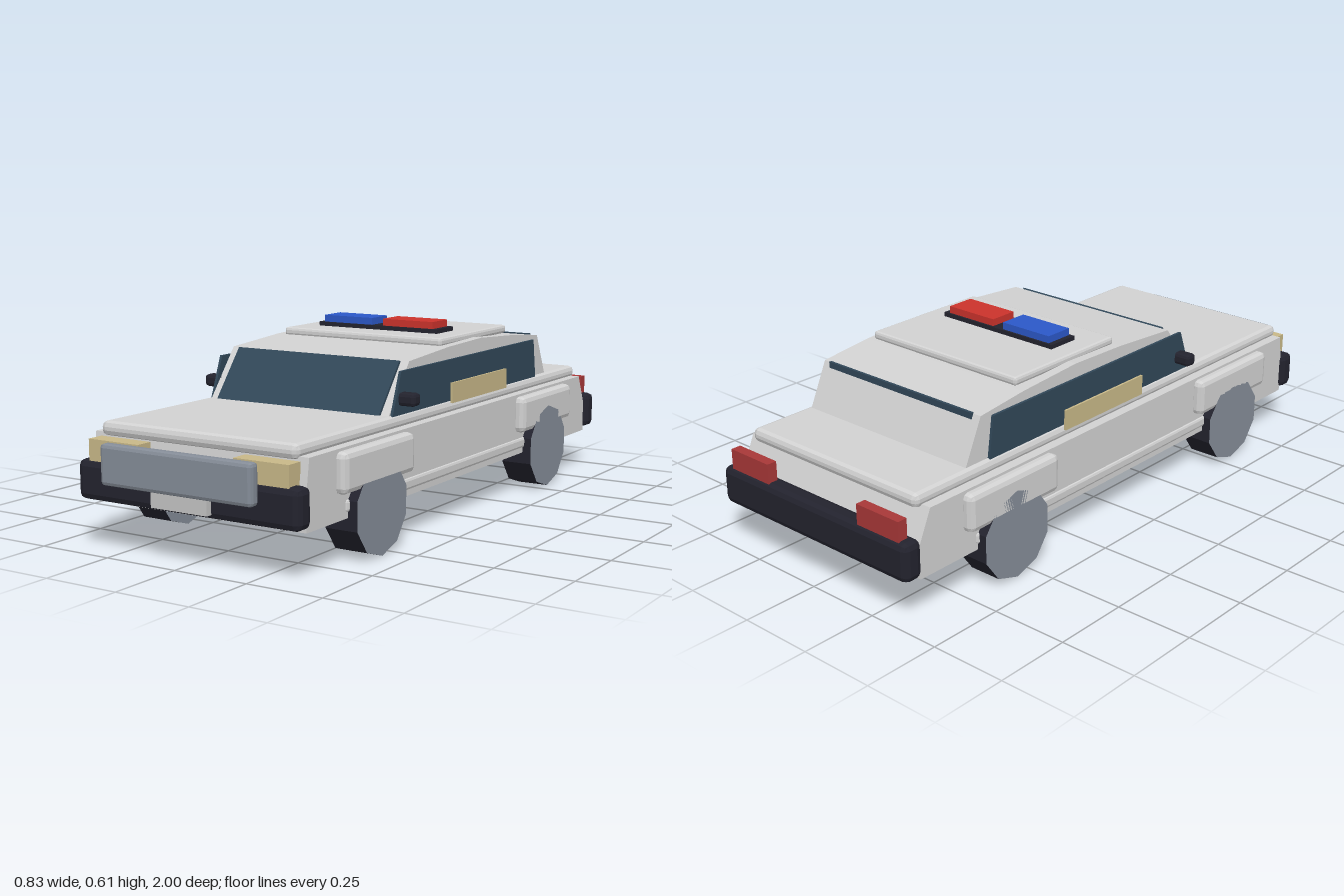
import * as THREE from 'three';
import { RoundedBoxGeometry } from 'three/addons/geometries/RoundedBoxGeometry.js';

const paint = (name, color) => {
  const m = new THREE.MeshStandardMaterial({ color, flatShading: true });
  m.name = name;
  return m;
};

export function createModel() {
  const car = new THREE.Group();
  car.name = 'patrolCar';

  const white = paint('bodyPaint', 0xd2d2d2);
  const plateGrey = paint('plateGrey', 0xc4c4c4);
  const glass = paint('glass', 0x314758);
  const dark = paint('darkRubber', 0x23232e);
  const steel = paint('steel', 0x858d98);
  const tan = paint('warmTan', 0xc8b888);
  const red = paint('beaconRed', 0xcc332c);
  const blue = paint('beaconBlue', 0x2c58c8);
  const tail = paint('tailRed', 0xa83838);

  const add = (name, geometry, material) => {
    const mesh = new THREE.Mesh(geometry, material);
    mesh.name = name;
    car.add(mesh);
    return mesh;
  };

  // Box given by its limits; a bevel cuts its edges at an angle
  const box = (name, material, [x0, x1], [y0, y1], [z0, z1], bevel = 0) => {
    const size = [x1 - x0, y1 - y0, z1 - z0];
    const g = bevel
      ? new RoundedBoxGeometry(...size, 1, bevel)
      : new THREE.BoxGeometry(...size);
    g.translate((x0 + x1) / 2, (y0 + y1) / 2, (z0 + z1) / 2);
    return add(name, g, material);
  };

  // Side profile of [z, y] points, extruded across x
  const profile = (name, material, points, x0, x1) => {
    const shape = new THREE.Shape(points.map(([z, y]) => new THREE.Vector2(z, y)));
    const g = new THREE.ExtrudeGeometry(shape, { depth: x1 - x0, bevelEnabled: false });
    g.rotateY(-Math.PI / 2).translate(x1, 0, 0);
    return add(name, g, material);
  };

  // Limits mirrored to the given side
  const flip = (side, a, b) => (side > 0 ? [a, b] : [-b, -a]);

  // Lower body and the deck with hood and trunk
  profile('lowerBody', white, [
    [0.9, 0.137], [0.9, 0.245], [0.885, 0.345],
    [-0.885, 0.345], [-0.93, 0.245], [-0.93, 0.137],
  ], -0.382, 0.382);
  box('deck', white, [-0.352, 0.352], [0.335, 0.38], [-0.912, 0.9], 0.017);

  // Cabin, windshield and rear glass edge
  profile('cabin', white, [
    [0.4, 0.365], [0.268, 0.533], [0.02, 0.55], [-0.2, 0.556],
    [-0.44, 0.541], [-0.625, 0.521], [-0.697, 0.365],
  ], -0.333, 0.333);
  profile('windshield', glass, [
    [0.388, 0.38], [0.27, 0.53], [0.278, 0.534], [0.398, 0.381],
  ], -0.304, 0.304);
  box('rearGlassEdge', glass, [-0.304, 0.304], [0.505, 0.525], [-0.633, -0.624]);

  // Roof panel and light bar
  box('roofPanel', white, [-0.303, 0.303], [0.546, 0.574], [-0.443, 0.02], 0.009);
  box('lightBarBase', dark, [-0.23, 0.23], [0.57, 0.588], [-0.195, -0.085]);
  box('redBeacon', red, [0.02, 0.211], [0.586, 0.611], [-0.188, -0.091]);
  box('blueBeacon', blue, [-0.213, -0.022], [0.586, 0.611], [-0.188, -0.091]);

  // Bumpers, push bar and number plate
  box('frontBumper', dark, [-0.396, 0.396], [0.149, 0.271], [0.89, 0.957], 0.02);
  box('rearBumper', dark, [-0.396, 0.396], [0.149, 0.271], [-1, -0.932], 0.02);
  box('pushBar', steel, [-0.27, 0.27], [0.212, 0.336], [0.962, 1], 0.012);
  box('numberPlate', plateGrey, [-0.1, 0.1], [0.164, 0.24], [0.956, 0.978]);

  for (const s of [1, -1]) {
    // Side windows and door panels
    const [w0, w1] = flip(s, 0.333, 0.342);
    profile('sideWindow', glass, [
      [0.39, 0.352], [0.33, 0.51], [-0.58, 0.51], [-0.602, 0.352],
    ], w0, w1);
    box('doorPanel', tan, flip(s, 0.372, 0.379), [0.38, 0.445], [-0.3, 0.077]);

    // Mirrors and sill strips
    box('mirror', dark, flip(s, 0.325, 0.396), [0.406, 0.446], [0.301, 0.345], 0.011);
    box('sillStrip', white, flip(s, 0.36, 0.389), [0.155, 0.192], [-0.705, 0.705], 0.009);

    // Head and tail lights
    box('headlight', tan, flip(s, 0.17, 0.357), [0.262, 0.333], [0.89, 0.946]);
    box('tailLight', tail, flip(s, 0.192, 0.36), [0.262, 0.333], [-0.988, -0.955]);

    // Fenders and ten-sided wheels
    for (const [z, f] of [[0.556, [0.362, 0.752]], [-0.56, [-0.755, -0.367]]]) {
      box('fender', white, flip(s, 0.365, 0.414), [0.215, 0.337], f, 0.018);
      const g = new THREE.CylinderGeometry(0.143, 0.143, 0.108, 10, 1, false, Math.PI / 2);
      g.rotateZ(Math.PI / 2);
      add('wheel', g, [dark, steel, steel]).position.set(s * 0.36, 0.143, z);
    }
  }
  return car;
}
